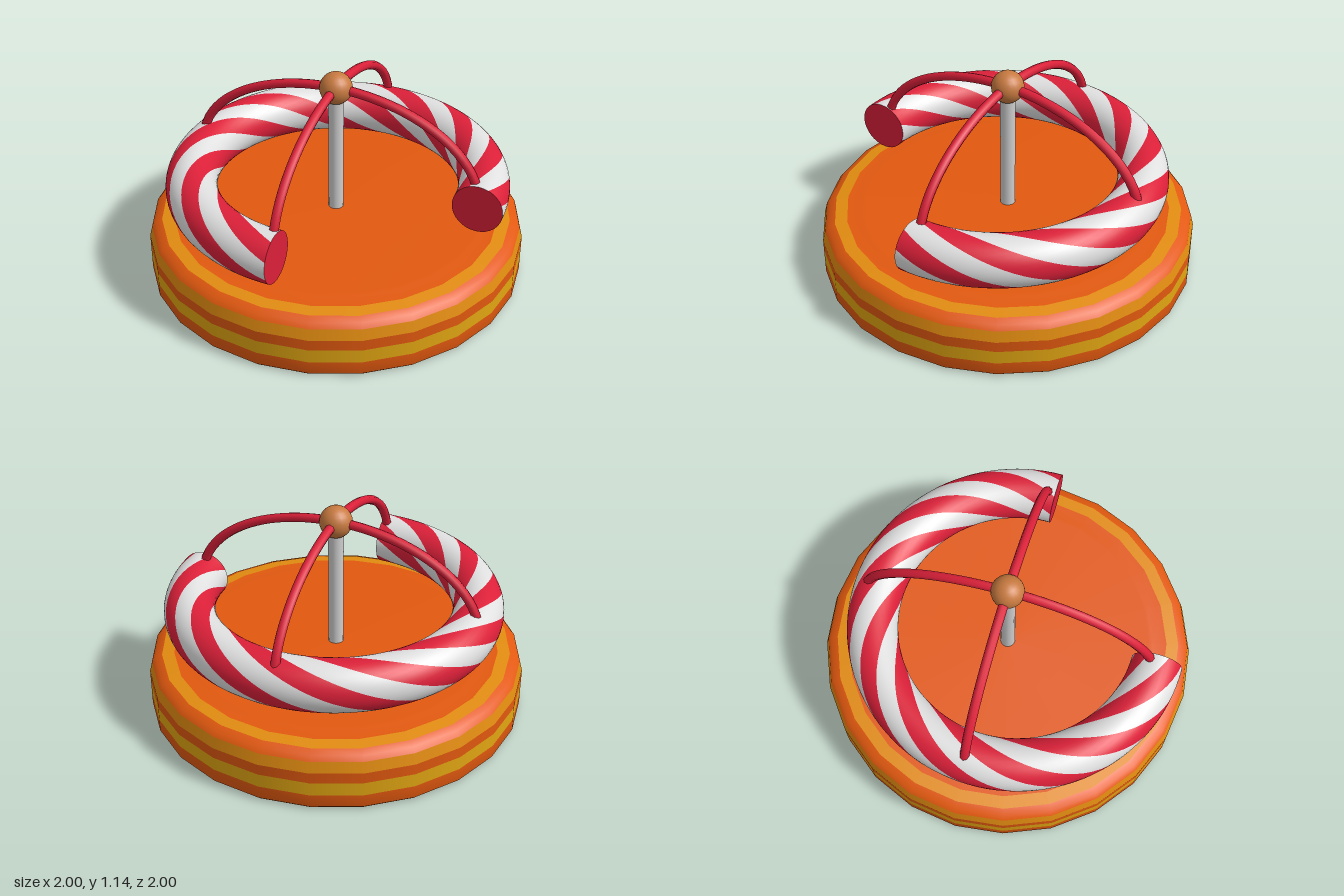
import * as THREE from 'three';

const mat = (name, color, side = THREE.FrontSide) => {
  const m = new THREE.MeshStandardMaterial({ color, side });
  m.name = name;
  return m;
};

export function createModel() {
  const group = new THREE.Group();
  const orange = mat('orange', 0xe2590f);
  const amber = mat('amber', 0xe28c10);
  const yellow = mat('yellow', 0xe2a612);
  const red = mat('red', 0xdc2039);
  const white = mat('white', 0xe0e0e0);
  const grey = mat('pale grey', 0xcfcfcf);
  const copper = mat('copper', 0xc87a40);

  const add = (name, geometry, material, x = 0, y = 0, z = 0) => {
    const mesh = new THREE.Mesh(geometry, material);
    mesh.name = name;
    mesh.position.set(x, y, z);
    group.add(mesh);
    return mesh;
  };

  // Round base, turned band by band so every colour has a clean edge
  const bands = [
    ['baseUnderside', orange, [[0, 0], [0.985, 0]]],
    ['baseLowerBand', orange, [[0.985, 0], [1, 0.015], [1, 0.085]]],
    ['baseYellowBand', yellow, [[1, 0.085], [1, 0.16]]],
    ['baseMiddleBand', orange, [[1, 0.16], [1, 0.22]]],
    ['baseAmberBand', amber, [[1, 0.22], [0.985, 0.278]]],
    ['baseShoulder', orange, [[0.985, 0.278], [0.965, 0.303], [0.93, 0.318]]],
    ['baseTopRing', amber, [[0.93, 0.318], [0.865, 0.325]]],
    ['baseFloor', orange, [[0.865, 0.325], [0.79, 0.326], [0.77, 0.333], [0, 0.333]]],
  ];
  for (const [name, material, points] of bands) {
    add(name, new THREE.LatheGeometry(points.map(p => new THREE.Vector2(...p)), 24), material);
  }

  // Striped three-quarter ring seat: interleaved strips twisting around a tube
  const R = 0.765, r = 0.135, stripes = 8, turns = 2;
  const steps = 84, across = 4;
  const cx = -0.01, cy = 0.54, cz = 0.05;
  const startAngle = Math.PI * 0.75, arc = Math.PI * 1.5;

  const stripeGeometry = parity => {
    const pos = [], nor = [], idx = [];
    const width = Math.PI * 2 / stripes;
    for (let s = parity; s < stripes; s += 2) {
      const base = pos.length / 3;
      for (let i = 0; i <= steps; i++) {
        const t = i / steps;
        const a = startAngle + arc * t;
        for (let j = 0; j <= across; j++) {
          const phi = (s - 0.5 + j / across) * width + turns * Math.PI * 2 * t;
          const n = [Math.cos(phi) * Math.cos(a), Math.sin(phi), Math.cos(phi) * Math.sin(a)];
          nor.push(...n);
          pos.push(R * Math.cos(a) + r * n[0], r * n[1], R * Math.sin(a) + r * n[2]);
          if (i < steps && j < across) {
            const k = base + i * (across + 1) + j, m = k + across + 1;
            idx.push(k, k + 1, m, k + 1, m + 1, m);
          }
        }
      }
    }
    const g = new THREE.BufferGeometry();
    g.setAttribute('position', new THREE.Float32BufferAttribute(pos, 3));
    g.setAttribute('normal', new THREE.Float32BufferAttribute(nor, 3));
    g.setIndex(idx);
    return g;
  };
  add('seatWhiteStripes', stripeGeometry(0), white, cx, cy, cz);
  add('seatRedStripes', stripeGeometry(1), red, cx, cy, cz);

  // Flat red ends of the ring
  for (const side of [-1, 1]) {
    const d = R * Math.SQRT1_2;
    const cap = add('seatEndCap', new THREE.CircleGeometry(r, 32), red, cx + side * d, cy, cz + d);
    cap.rotation.y = -side * Math.PI / 4;
  }

  // Centre pole and ball
  add('pole', new THREE.CylinderGeometry(0.04, 0.04, 0.73, 16), grey, 0, 0.685, 0);
  add('ball', new THREE.SphereGeometry(0.086, 20, 14), copper, 0, 1.05, 0);

  // Four curved arms from the ball down to the ring
  const armPoints = [];
  for (let i = 0; i <= 12; i++) {
    const a = i / 12 * Math.PI / 2;
    armPoints.push(new THREE.Vector3(0.785 * Math.sin(a), 0.55 + 0.5 * Math.cos(a), 0));
  }
  const armGeometry = new THREE.TubeGeometry(new THREE.CatmullRomCurve3(armPoints), 24, 0.025, 8);
  for (let i = 0; i < 4; i++) {
    add('arm', armGeometry, red).rotation.y = Math.PI / 4 + i * Math.PI / 2;
  }

  return group;
}
